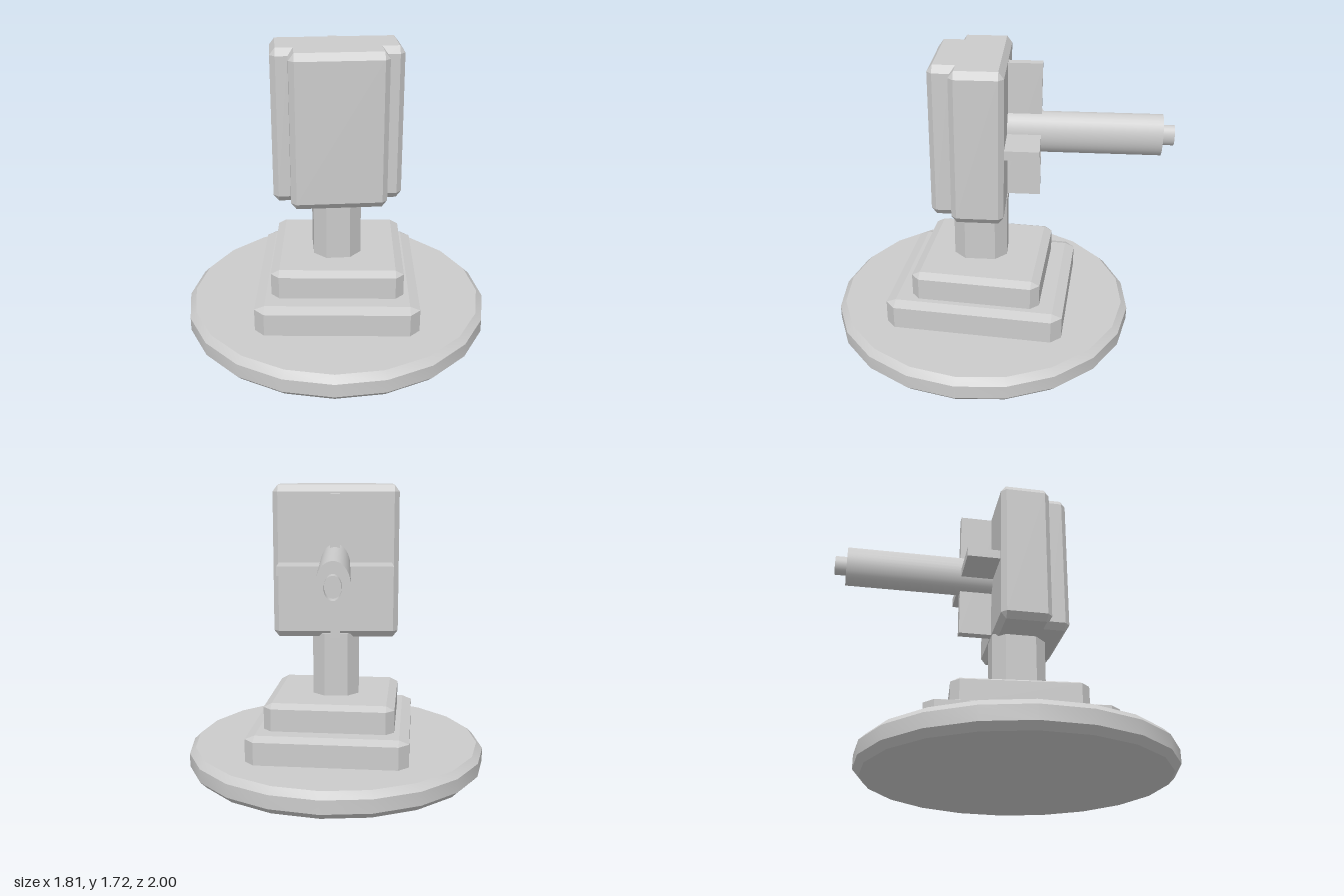
import * as THREE from 'three';
import { toCreasedNormals } from 'three/addons/utils/BufferGeometryUtils.js';

const grey = new THREE.MeshStandardMaterial({ color: 0xcccccc });
const greyDouble = new THREE.MeshStandardMaterial({ color: 0xcccccc, side: THREE.DoubleSide });

function part(name, geometry, parent, x = 0, y = 0, z = 0, material = grey) {
  const mesh = new THREE.Mesh(geometry, material);
  mesh.name = name;
  mesh.position.set(x, y, z);
  parent.add(mesh);
  return mesh;
}

// Upright prism with chamfered edges. `core` is the counter-clockwise cap outline [x, -z];
// each level is [height, outset], where outset pushes the sides out and cuts the convex corners.
function chamferedPrism(core, levels) {
  const n = core.length;
  const normal = (a, b) => new THREE.Vector2(b[1] - a[1], a[0] - b[0]).normalize();
  const ring = ([h, d]) => core.flatMap((p, i) => {
    const n1 = normal(core[(i + n - 1) % n], p);
    const n2 = normal(p, core[(i + 1) % n]);
    const convex = n1.cross(n2) > 0;
    const both = n1.clone().add(n2);
    const [o1, o2] = convex ? [n1, n2] : [both, both];
    return [o1, o2].map((o) => [p[0] + o.x * d, h, -(p[1] + o.y * d)]);
  });
  const rings = levels.map(ring);
  const pos = [];
  const tri = (...pts) => pts.forEach((p) => pos.push(...p));
  for (let k = 0; k + 1 < rings.length; k++) {
    for (let i = 0; i < 2 * n; i++) {
      const j = (i + 1) % (2 * n);
      tri(rings[k][i], rings[k][j], rings[k + 1][j]);
      tri(rings[k][i], rings[k + 1][j], rings[k + 1][i]);
    }
  }
  // Caps close the first and last rings
  const cap = (r, flip) => {
    const outline = r.map((p) => new THREE.Vector2(p[0], -p[2]))
      .filter((p, i, all) => p.distanceTo(all[(i + 1) % all.length]) > 1e-6);
    for (const f of THREE.ShapeUtils.triangulateShape(outline, [])) {
      const pts = f.map((i) => [outline[i].x, r[0][1], -outline[i].y]);
      tri(...(flip ? pts.reverse() : pts));
    }
  };
  cap(rings[0], true);
  cap(rings[rings.length - 1], false);
  const g = new THREE.BufferGeometry();
  g.setAttribute('position', new THREE.Float32BufferAttribute(pos, 3));
  g.computeVertexNormals();
  return g;
}

const rect = (hx, hz) => [[-hx, -hz], [hx, -hz], [hx, hz], [-hx, hz]];

// Oval cylinder lying along z
function ovalRod(rx, ry, length, open = false) {
  return new THREE.CylinderGeometry(1, 1, length, 32, 1, open)
    .rotateX(Math.PI / 2).scale(rx, ry, 1);
}

export function createModel() {
  const model = new THREE.Group();
  model.name = 'stand';

  // Round foot with chamfered rims
  const rim = [[0, 0], [0.868, 0], [0.905, 0.038], [0.905, 0.118], [0.868, 0.155], [0, 0.155]];
  const foot = new THREE.LatheGeometry(rim.map((p) => new THREE.Vector2(...p)), 20);
  part('baseDisc', toCreasedNormals(foot, 0.5), model, 0, 0, 0.092);

  // Two stepped plinths
  part('lowerPlinth', chamferedPrism(rect(0.412, 0.465),
    [[0.14, 0.058], [0.29, 0.058], [0.313, 0]]), model, 0.01, 0, 0.08);
  part('upperPlinth', chamferedPrism(rect(0.333, 0.332),
    [[0.30, 0.048], [0.445, 0.048], [0.47, 0]]), model, 0.01, 0, 0.08);

  // Everything above is turned slightly
  const turret = new THREE.Group();
  turret.name = 'turret';
  turret.position.z = 0.1;
  turret.rotation.y = THREE.MathUtils.degToRad(5);
  model.add(turret);

  part('column', chamferedPrism(rect(0.069, 0.09),
    [[0.46, 0.069], [0.85, 0.069]]), turret);

  // Head: wide block with a narrower front panel
  const tee = [
    [-0.24, -0.235], [0.24, -0.235], [0.24, -0.109], [0.337, -0.109],
    [0.337, 0.127], [-0.337, 0.127], [-0.337, -0.109], [-0.24, -0.109],
  ];
  part('head', chamferedPrism(tee,
    [[0.828, 0], [0.866, 0.03], [1.68, 0.03], [1.72, 0]]), turret);

  // Crossed fins on the back
  part('verticalFin', new THREE.BoxGeometry(0.054, 0.805, 0.23), turret, 0.003, 1.27, -0.235);
  part('horizontalFin', new THREE.BoxGeometry(0.66, 0.054, 0.23), turret, 0.003, 1.27, -0.235)
    .position.y = 1.27 - 0.025;

  // Barrel and open nozzle
  part('barrel', ovalRod(0.087, 0.122, 0.9), turret, 0.004, 1.26, -0.583);
  part('nozzle', ovalRod(0.043, 0.06, 0.08, true), turret, 0.004, 1.26, -1.062, greyDouble);

  return model;
}
